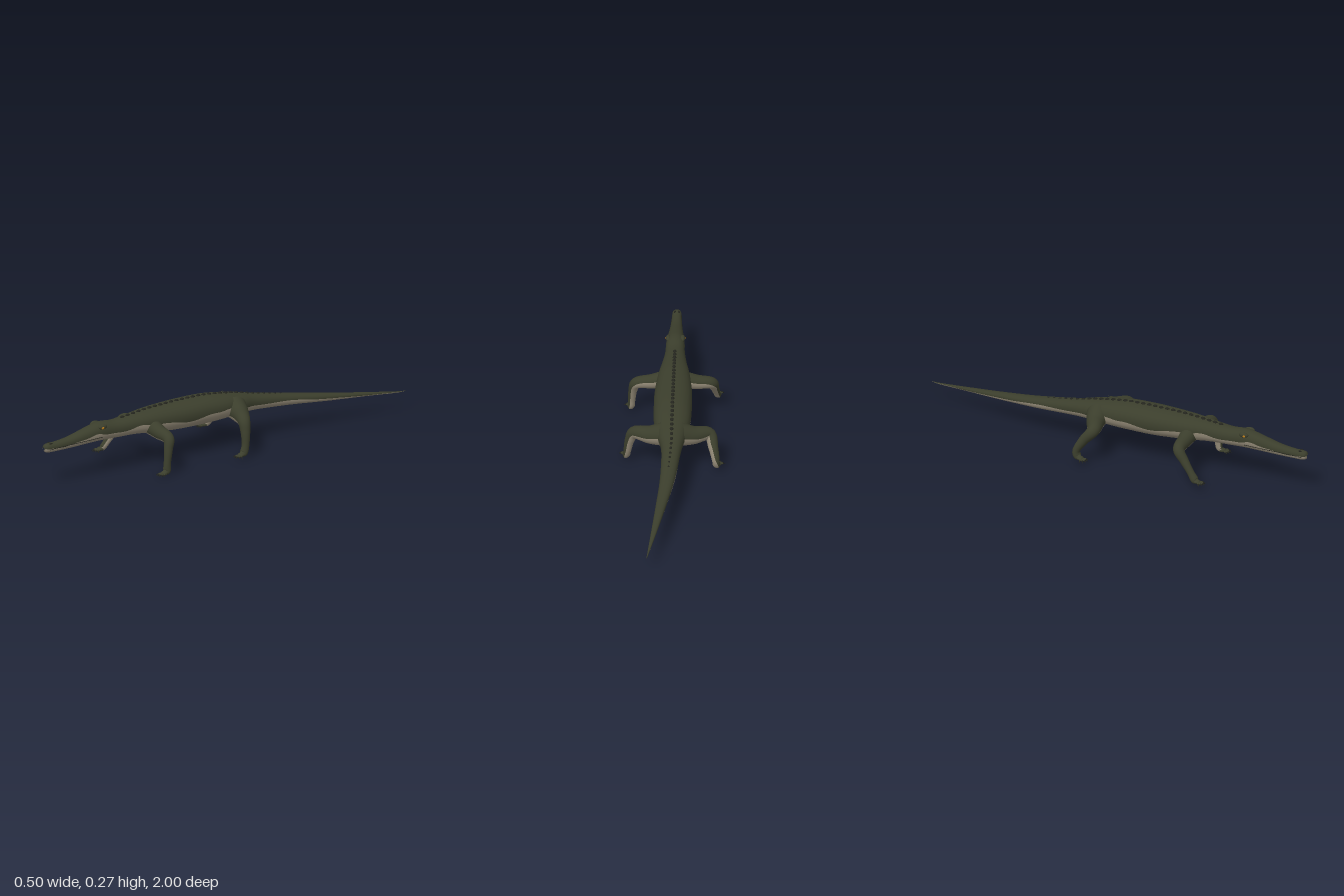
import * as THREE from 'three';

const V = (x, y, z) => new THREE.Vector3(x, y, z);
const mat = (name, color) => {
  const m = new THREE.MeshStandardMaterial({ color });
  m.name = name;
  return m;
};

// Tapered tube along a curve: upper half in group 0, lower half in group 1
function loft(path, size, ref, rings, split, power) {
  const half = 12, cols = half * 2, pos = [], index = [[], []];
  const bend = (v) => Math.sign(v) * Math.pow(Math.abs(v), power);
  for (let i = 0; i <= rings; i++) {
    const t = i / rings, c = path.getPoint(t), s = size.getPoint(t), T = path.getTangent(t);
    const U = ref.clone().addScaledVector(T, -T.dot(ref)).normalize();
    const W = T.clone().cross(U);
    const a0 = split(t);
    for (let j = 0; j < cols; j++) {
      const a = j < half
        ? a0 + (j / half) * (Math.PI - 2 * a0)
        : Math.PI - a0 + ((j - half) / half) * (Math.PI + 2 * a0);
      const p = c.clone()
        .addScaledVector(W, bend(Math.cos(a)) * Math.max(s.x, 0.0004))
        .addScaledVector(U, bend(Math.sin(a)) * Math.max(s.y, 0.0004));
      pos.push(p.x, p.y, p.z);
    }
  }
  for (let i = 0; i < rings; i++) {
    for (let j = 0; j < cols; j++) {
      const k = (j + 1) % cols, a = i * cols + j, b = i * cols + k;
      index[j < half ? 0 : 1].push(a, a + cols, b, b, a + cols, b + cols);
    }
  }
  const g = new THREE.BufferGeometry();
  g.setAttribute('position', new THREE.Float32BufferAttribute(pos, 3));
  g.setIndex([...index[0], ...index[1]]);
  g.addGroup(0, index[0].length, 0);
  g.addGroup(index[0].length, index[1].length, 1);
  g.computeVertexNormals();
  return g;
}

export function createModel() {
  const model = new THREE.Group();
  model.name = 'crocodile';
  const hide = mat('dark olive hide', 0x3b3e2c);
  const belly = mat('pale belly', 0x8f8674);
  const horn = mat('dark horn', 0x24251e);
  const amber = mat('amber eye', 0xc0801c);
  const add = (parent, name, geo, material) => {
    const m = new THREE.Mesh(geo, material);
    m.name = name;
    parent.add(m);
    return m;
  };

  // Body from snout to tail tip: z, x, top, bottom, half width
  const rows = [
    [1, 0, 0.192, 0.178, 0.006], [0.985, 0, 0.206, 0.165, 0.02], [0.93, 0, 0.208, 0.163, 0.023],
    [0.85, 0, 0.217, 0.163, 0.028], [0.75, 0, 0.24, 0.165, 0.037], [0.68, 0, 0.253, 0.166, 0.043],
    [0.6, 0, 0.247, 0.163, 0.046], [0.5, 0, 0.255, 0.16, 0.058], [0.4, 0, 0.264, 0.15, 0.074],
    [0.25, 0, 0.268, 0.138, 0.087], [0.1, 0, 0.266, 0.135, 0.088], [0, 0, 0.255, 0.137, 0.083],
    [-0.1, 0, 0.237, 0.139, 0.065], [-0.2, 0, 0.215, 0.138, 0.046], [-0.4, 0.012, 0.178, 0.125, 0.035],
    [-0.6, 0.038, 0.145, 0.11, 0.024], [-0.8, 0.066, 0.116, 0.099, 0.013],
    [-0.95, 0.088, 0.096, 0.089, 0.004], [-1, 0.095, 0.092, 0.09, 0.001],
  ];
  const curve = (pts) => new THREE.CatmullRomCurve3(pts, false, 'catmullrom', 0.5);
  const spine = curve(rows.map(([z, x, t, b]) => V(x, (t + b) / 2, z)));
  const girth = curve(rows.map(([, , t, b, w]) => V(w, (t - b) / 2, 0)));
  const wavy = (t) => -0.08 + 0.12 * Math.sin(t * 34) + 0.05 * Math.sin(t * 83);
  add(model, 'body', loft(spine, girth, V(0, 1, 0), 144, wavy, 0.9), [hide, belly]);

  const bodyAt = (z) => {
    let lo = 0, hi = 1;
    for (let i = 0; i < 30; i++) {
      const mid = (lo + hi) / 2;
      if (spine.getPoint(mid).z > z) lo = mid; else hi = mid;
    }
    return { c: spine.getPoint(lo), s: girth.getPoint(lo) };
  };

  // Row of scutes down the back
  const scutes = new THREE.Group();
  scutes.name = 'backScutes';
  model.add(scutes);
  const scuteGeo = new THREE.SphereGeometry(1, 10, 6);
  for (let z = 0.55; z > -0.36; z -= 0.031) {
    const { c, s } = bodyAt(z);
    const k = z < -0.1 ? 1 + (z + 0.1) * 2 : 1;
    const m = add(scutes, 'scute', scuteGeo, horn);
    m.position.set(c.x, c.y + s.y - 0.001, z);
    m.scale.set(0.009 * k, 0.008 * k, 0.012 * k);
  }

  // Head details
  const ball = new THREE.SphereGeometry(1, 14, 10);
  for (const side of [-1, 1]) {
    const brow = add(model, 'brow', ball, hide);
    brow.position.set(side * 0.033, 0.238, 0.685);
    brow.scale.set(0.012, 0.012, 0.024);
    const eye = add(model, 'eye', ball, amber);
    eye.position.set(side * 0.04, 0.236, 0.69);
    eye.scale.set(0.006, 0.007, 0.009);
    const nostril = add(model, 'nostril', ball, horn);
    nostril.position.set(side * 0.009, 0.206, 0.965);
    nostril.scale.set(0.005, 0.004, 0.008);
    const mouth = [0.98, 0.93, 0.87, 0.8, 0.73, 0.69].map((z, i) => {
      const { c, s } = bodyAt(z), y = 0.181 + i * 0.002;
      const d = Math.min(Math.abs(y - c.y) / s.y, 0.95);
      return V(side * s.x * Math.pow(1 - Math.pow(d, 2.2), 0.45), y, z);
    });
    add(model, 'mouthLine', new THREE.TubeGeometry(curve(mouth), 24, 0.0015, 5), horn);
  }

  // Legs: path from inside the body to the foot, with radii
  const frontR = [0.042, 0.034, 0.027, 0.021, 0.017, 0.015, 0.009];
  const hindR = [0.056, 0.043, 0.03, 0.023, 0.018, 0.015, 0.009];
  const legs = [
    ['frontLeftLeg', frontR, 0.25, [[0.03, 0.19, 0.41], [0.1, 0.175, 0.41], [0.172, 0.164, 0.412],
      [0.19, 0.12, 0.425], [0.196, 0.06, 0.435], [0.198, 0.022, 0.44], [0.2, 0.013, 0.455]]],
    ['frontRightLeg', frontR, -0.1, [[-0.03, 0.19, 0.41], [-0.1, 0.175, 0.41], [-0.172, 0.164, 0.42],
      [-0.185, 0.12, 0.455], [-0.193, 0.075, 0.49], [-0.198, 0.043, 0.515], [-0.2, 0.036, 0.528]]],
    ['hindLeftLeg', hindR, 0.3, [[0.04, 0.185, -0.065], [0.1, 0.172, -0.05], [0.172, 0.164, -0.02],
      [0.195, 0.12, -0.012], [0.206, 0.06, -0.005], [0.21, 0.026, 0.008], [0.213, 0.018, 0.025]]],
    ['hindRightLeg', hindR, -0.4, [[-0.04, 0.185, -0.065], [-0.1, 0.172, -0.05], [-0.172, 0.164, -0.025],
      [-0.192, 0.115, -0.065], [-0.204, 0.065, -0.095], [-0.206, 0.038, -0.09], [-0.211, 0.03, -0.073]]],
  ];
  const up = V(0, 1, 0);
  for (const [name, radii, yaw, pts] of legs) {
    const leg = new THREE.Group();
    leg.name = name;
    model.add(leg);
    const side = Math.sign(pts[0][0]);
    const path = curve(pts.map((p) => V(...p)));
    const size = curve(radii.map((r, i) => V(i > 4 ? r * 1.25 : r, r, 0)));
    add(leg, 'limb', loft(path, size, V(side * 0.7, 0.7, 0.35), 40, () => -0.1, 1), [hide, belly]);
    const end = path.getPoint(1);
    const palm = add(leg, 'palm', ball, hide);
    palm.position.copy(end);
    palm.scale.set(0.017, 0.009, 0.016);
    // Toes with claws
    for (let i = 0; i < 5; i++) {
      const a = yaw + (i - 2) * 0.38;
      const dir = V(Math.sin(a), -0.12, Math.cos(a)).normalize();
      const len = 0.032 - Math.abs(i - 2) * 0.002;
      const toe = add(leg, 'toe', new THREE.CylinderGeometry(0.0035, 0.006, len, 8), hide);
      toe.quaternion.setFromUnitVectors(up, dir);
      toe.position.copy(end).addScaledVector(dir, len / 2);
      const claw = add(leg, 'claw', new THREE.ConeGeometry(0.0038, 0.015, 8), horn);
      const tip = dir.clone().setY(-0.4).normalize();
      claw.quaternion.setFromUnitVectors(up, tip);
      claw.position.copy(end).addScaledVector(dir, len).addScaledVector(tip, 0.006);
    }
  }
  return model;
}
